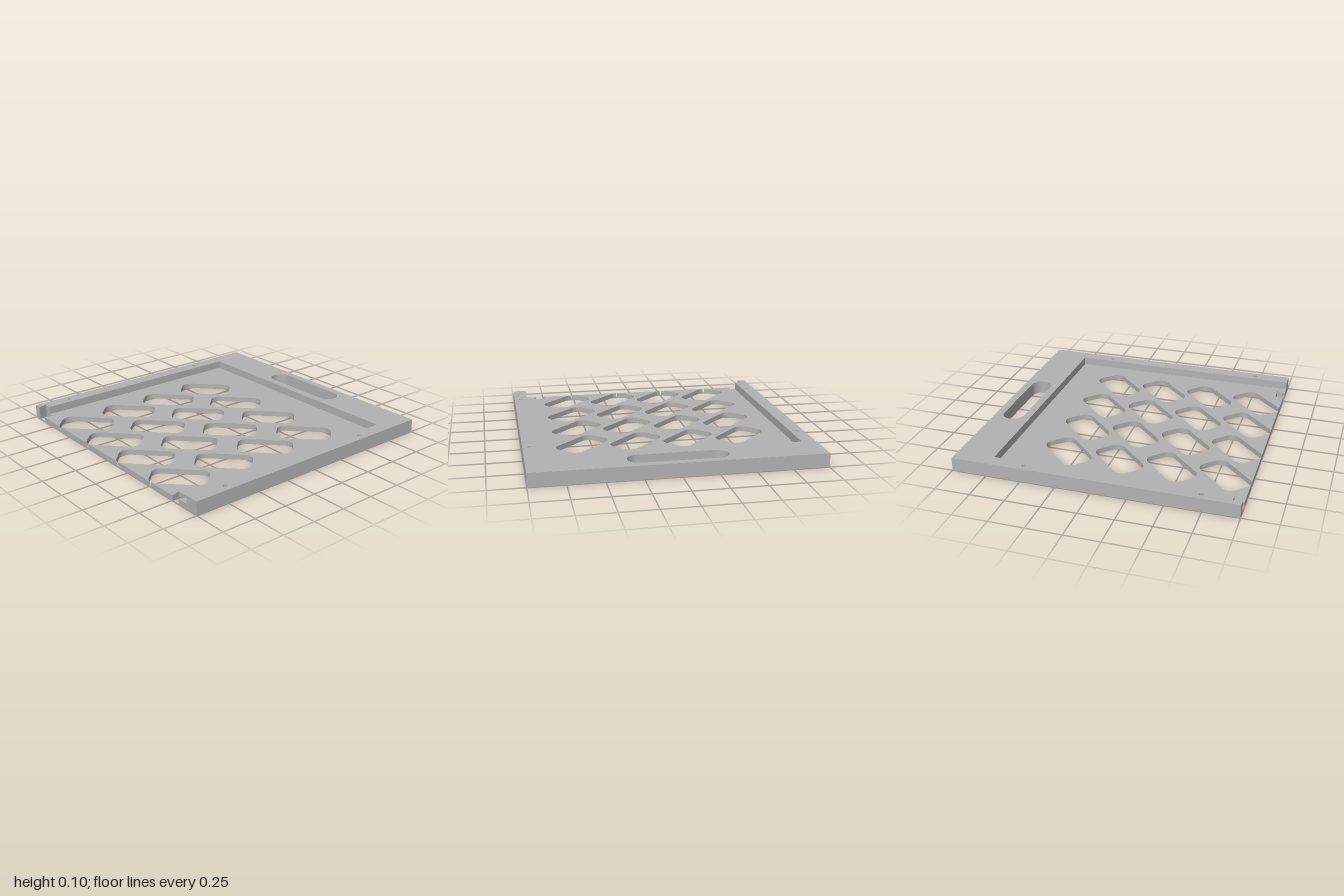
import * as THREE from 'three';
import { toCreasedNormals } from 'three/addons/utils/BufferGeometryUtils.js';

const FLOOR = 0.038, HEIGHT = 0.097;
const RAD = Math.PI / 180;
const COLUMNS = [-0.573, -0.191, 0.191, 0.573];
const GAP = 5.2; // half angle of the slit where the last row breaks the front edge
const R = 0.064;
const FRONT_ROW = -1 + 0.125 + R * Math.cos(GAP * RAD);

// Plans are drawn with y pointing to the back, then laid flat.
function slab(name, shape, bottom, top, material) {
  const geo = new THREE.ExtrudeGeometry(shape, { depth: top - bottom, bevelEnabled: false, curveSegments: 16 });
  geo.rotateX(-Math.PI / 2);
  geo.translate(0, bottom, 0);
  const mesh = new THREE.Mesh(toCreasedNormals(geo, 0.5), material);
  mesh.name = name;
  return mesh;
}

// Diagonal rounded slot, traced clockwise from its front tip
function slotPoints(cx, cy, gap = 0) {
  const arcs = [
    [-0.06, -0.125, -90 - gap, -135],
    [-0.125, -0.06, -135, -225],
    [0.06, 0.125, -225, -315],
    [0.125, 0.06, -315, -405],
    [-0.06, -0.125, -405, -450 + gap],
  ];
  const pts = [];
  for (const [x, y, from, to] of arcs) {
    const n = Math.round(Math.abs(to - from) / 7.5);
    for (let i = 0; i <= n; i++) {
      const a = (from + (to - from) * i / n) * RAD;
      pts.push(new THREE.Vector2(cx + x + R * Math.cos(a), cy + y + R * Math.sin(a)));
    }
  }
  return pts;
}

// Handle opening with round ends
function handleHole() {
  const p = new THREE.Path();
  p.absarc(0.263, 0.865, 0.079, -Math.PI / 2, Math.PI / 2);
  p.absarc(-0.263, 0.865, 0.079, Math.PI / 2, Math.PI * 1.5);
  p.closePath();
  return p;
}

const points = (list) => list.map(([x, y]) => new THREE.Vector2(x, y));

export function createModel() {
  const group = new THREE.Group();
  group.name = 'slottedTray';
  const grey = new THREE.MeshStandardMaterial({ color: 0xb2b2b2 });
  grey.name = 'grey';

  // Floor plate: dovetail notches and the front row of slots are part of its outline
  const floor = new THREE.Shape([
    ...points([[-1, 1], [-1, -1], [-0.941, -1], [-0.957, -0.938], [-0.857, -0.938], [-0.873, -1]]),
    ...COLUMNS.flatMap((x) => slotPoints(x, FRONT_ROW, GAP)),
    ...points([[0.752, -1], [0.736, -0.938], [0.834, -0.938], [0.818, -1], [1, -1], [1, 1]]),
  ]);
  floor.holes.push(handleHole());
  for (let row = 1; row < 4; row++) {
    for (const x of COLUMNS) {
      floor.holes.push(new THREE.Path(slotPoints(x, FRONT_ROW + row * 0.374).slice(0, -1)));
    }
  }
  group.add(slab('floorPlate', floor, 0, FLOOR, grey));

  // Raised rim on three sides, notched at its left front end
  const rim = new THREE.Shape(points([
    [-1, 1], [-1, -1], [-0.941, -1], [-0.957, -0.938], [-0.9, -0.938],
    [-0.9, 0.727], [0.9, 0.727], [0.9, -1], [1, -1], [1, 1],
  ]));
  rim.holes.push(handleHole());
  // Blind pin holes in the side rims
  for (const x of [-0.95, 0.95]) {
    for (const y of [0.488, -0.733]) {
      rim.holes.push(new THREE.Path().absarc(x, y, 0.016, 0, Math.PI * 2));
    }
  }
  group.add(slab('rim', rim, FLOOR, HEIGHT, grey));
  return group;
}
